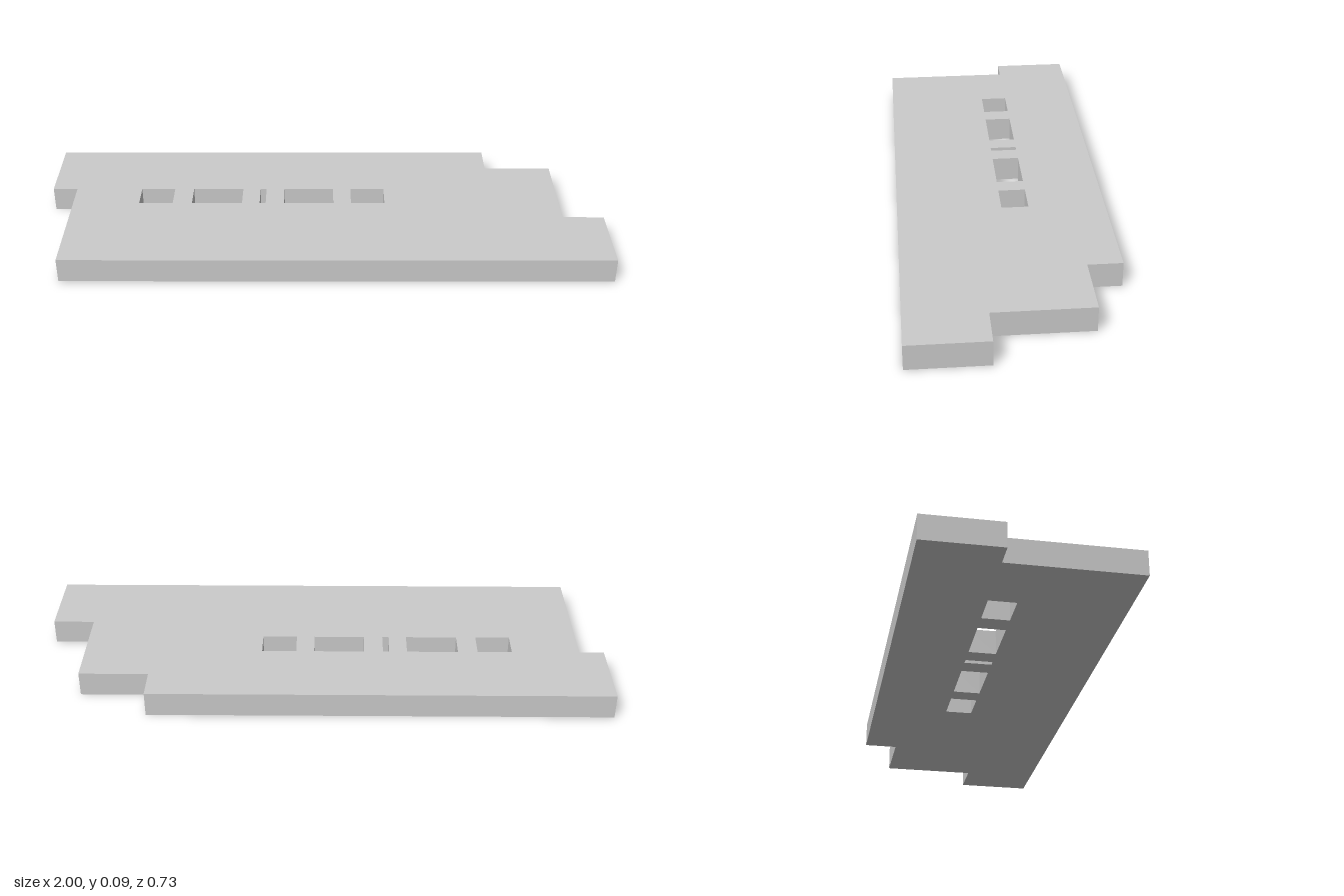
import * as THREE from 'three';

const THICKNESS = 0.088;

// Plate outline as [x, z], stepped at both ends
const OUTLINE = [
  [-0.912, 0.363], [1, 0.363], [1, 0.094], [0.853, 0.094], [0.853, -0.244],
  [0.61, -0.244], [0.61, -0.363], [-1, -0.363], [-1, -0.095], [-0.912, -0.095],
];

// Row of rectangular slots as [x start, x end]
const SLOTS = [[-0.672, -0.55], [-0.48, -0.298], [-0.234, -0.212], [-0.145, 0.034], [0.098, 0.22]];
const SLOT_BACK = -0.095;
const SLOT_FRONT = 0;

// The shape is drawn flat with its y axis pointing to -z
const toPoints = (corners) => corners.map(([x, z]) => new THREE.Vector2(x, -z));

export function createModel() {
  const group = new THREE.Group();
  group.name = 'slottedPlate';

  const shape = new THREE.Shape(toPoints(OUTLINE));
  for (const [x0, x1] of SLOTS) {
    shape.holes.push(new THREE.Path(toPoints([
      [x0, SLOT_FRONT], [x0, SLOT_BACK], [x1, SLOT_BACK], [x1, SLOT_FRONT], [x0, SLOT_FRONT],
    ])));
  }

  // Extrude the outline and lay it flat on the ground
  const geometry = new THREE.ExtrudeGeometry(shape, { depth: THICKNESS, bevelEnabled: false });
  geometry.rotateX(-Math.PI / 2);

  const plate = new THREE.Mesh(geometry, new THREE.MeshStandardMaterial({ color: 0xcccccc, flatShading: true }));
  plate.name = 'plate';
  group.add(plate);
  return group;
}
